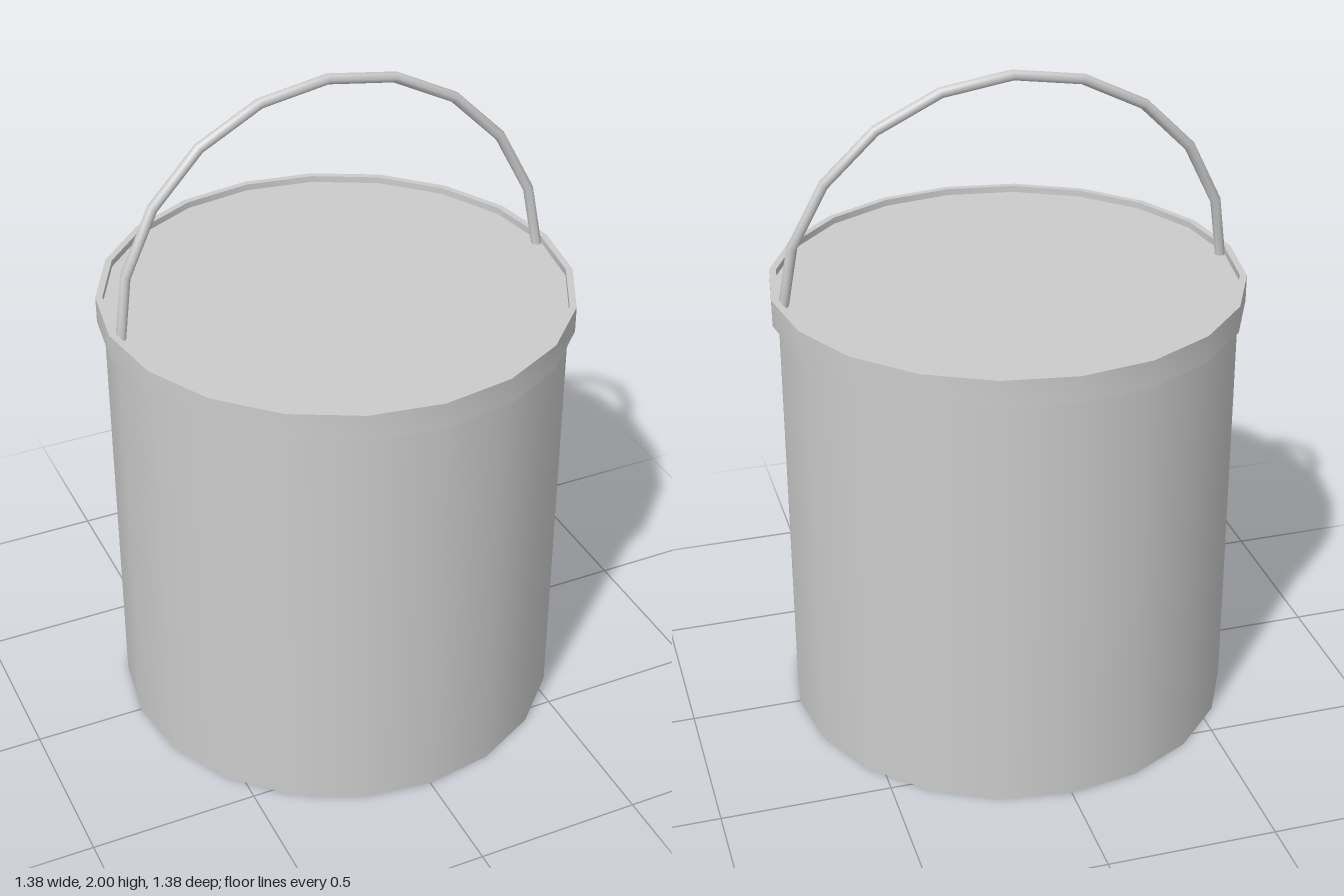
import * as THREE from 'three';
import { toCreasedNormals } from 'three/addons/utils/BufferGeometryUtils.js';

const SIDES = 20;
const BODY_RADIUS = 0.67;
const LID_Y = 1.35;
const RIM_RADIUS = 0.69;
const RIM_BOTTOM = 1.29;
const RIM_TOP = 1.37;

export function createModel() {
  const group = new THREE.Group();
  const material = new THREE.MeshStandardMaterial({ color: 0xcccccc });

  function add(name, geometry) {
    const mesh = new THREE.Mesh(geometry, material);
    mesh.name = name;
    group.add(mesh);
    return mesh;
  }

  // Straight-sided body, closed by a flat base and a flat top just below the rim
  const body = add('bucketBody', new THREE.CylinderGeometry(BODY_RADIUS, BODY_RADIUS, LID_Y, SIDES));
  body.position.y = LID_Y / 2;

  // Raised band around the top edge: a closed rectangular section
  const section = [
    [BODY_RADIUS, RIM_BOTTOM],
    [RIM_RADIUS, RIM_BOTTOM],
    [RIM_RADIUS, RIM_TOP],
    [BODY_RADIUS, RIM_TOP],
    [BODY_RADIUS, RIM_BOTTOM],
  ].map(([r, y]) => new THREE.Vector2(r, y));
  add('rim', toCreasedNormals(new THREE.LatheGeometry(section, SIDES), Math.PI / 6));

  // Half-hoop carrying handle, leaning slightly backwards
  const handle = add('handle', new THREE.TorusGeometry(0.66, 0.016, 8, 10, Math.PI));
  handle.position.y = 1.327;
  handle.rotation.x = THREE.MathUtils.degToRad(-5);

  return group;
}
